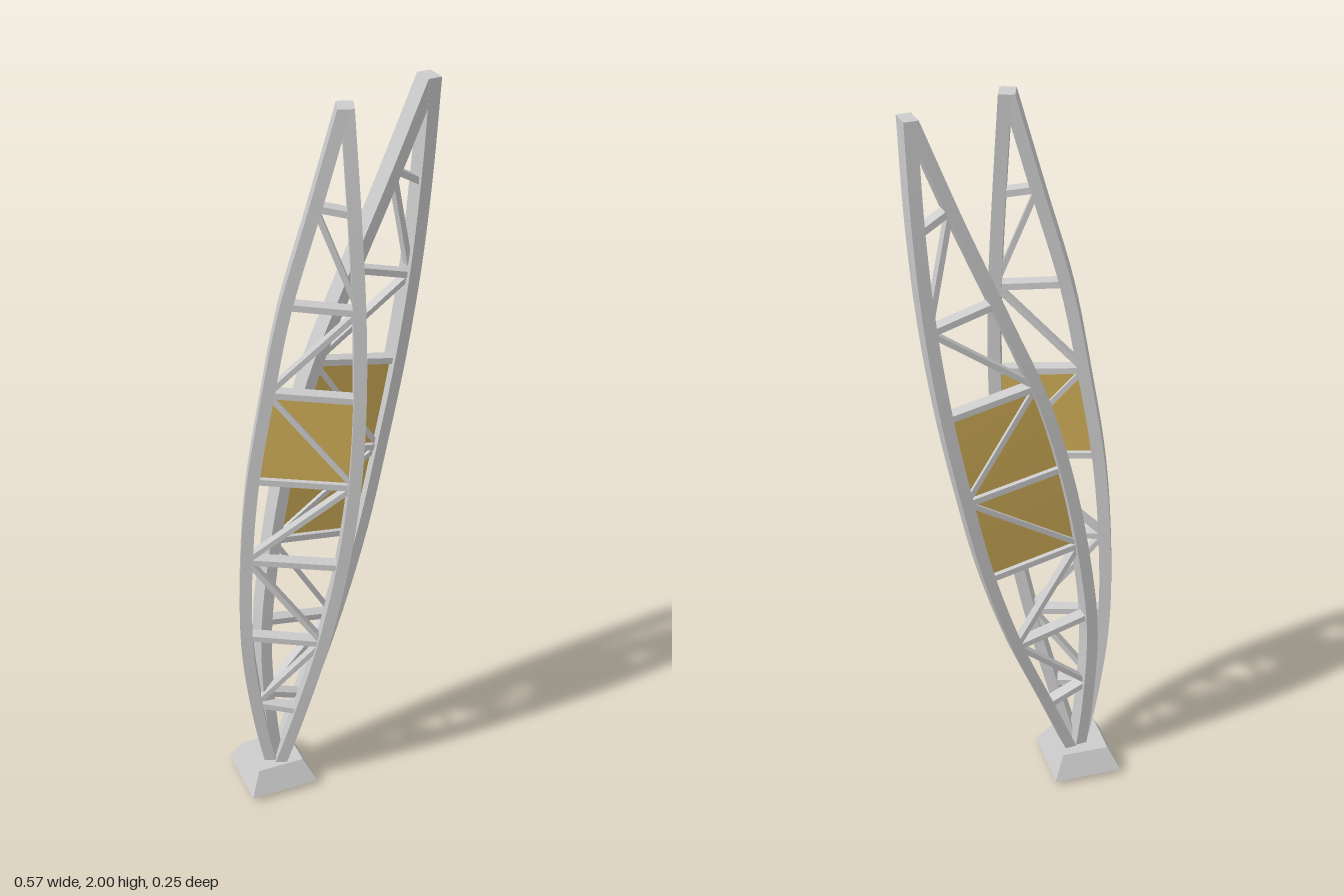
import * as THREE from 'three';

const grey = new THREE.MeshStandardMaterial({ color: 0xcccccc });
const gold = new THREE.MeshStandardMaterial({ color: 0xccaa55 });
const UP = new THREE.Vector3(0, 1, 0);

// Four corners of a rectangular section: centre c, half axes a and b
function section(c, a, b) {
  return [[-1, -1], [1, -1], [1, 1], [-1, 1]].map(([s, t]) =>
    c.clone().addScaledVector(a, s).addScaledVector(b, t));
}

// Closed bar through a list of sections, sharp along its four edges
function loft(sections) {
  const pos = [], idx = [];
  const add = (p) => pos.push(p.x, p.y, p.z) / 3 - 1;
  for (let e = 0; e < 4; e++) {
    let prev = null;
    for (const s of sections) {
      const cur = [add(s[e]), add(s[(e + 1) % 4])];
      if (prev) idx.push(prev[0], prev[1], cur[1], prev[0], cur[1], cur[0]);
      prev = cur;
    }
  }
  const s = sections[0].map(add), t = sections[sections.length - 1].map(add);
  idx.push(s[0], s[2], s[1], s[0], s[3], s[2], t[0], t[1], t[2], t[0], t[2], t[3]);
  const g = new THREE.BufferGeometry();
  g.setAttribute('position', new THREE.Float32BufferAttribute(pos, 3));
  g.setIndex(idx);
  g.computeVertexNormals();
  return g;
}

function part(parent, name, geometry, material = grey) {
  const m = new THREE.Mesh(geometry, material);
  m.name = name;
  parent.add(m);
}

// Centre line from x and z values at every quarter unit of height
const centreLine = (xs, zs) => new THREE.CatmullRomCurve3(
  xs.map((x, i) => new THREE.Vector3(x, i * 0.25, zs[i])), false, 'catmullrom');

// Lens-shaped lattice blade between two bowed chords
function makeBlade({ name, left, right, across, drop, panels }) {
  const blade = new THREE.Group();
  blade.name = name;
  const u = new THREE.Vector3(across[0], 0, across[1]).normalize();
  const n = UP.clone().cross(u);
  const L = (y) => left.getPoint((y + drop) / 2);
  const R = (y) => right.getPoint((y - drop) / 2);

  // Curved box-section chords
  for (const [label, curve] of [['leftChord', left], ['rightChord', right]]) {
    const a = u.clone().multiplyScalar(0.016), b = n.clone().multiplyScalar(0.0275);
    part(blade, label, loft(curve.getPoints(48).map((c) => section(c, a, b))));
  }

  const bar = (label, p, q, w, h) => {
    const d = q.clone().sub(p).normalize();
    const a = n.clone().cross(d).normalize().multiplyScalar(w / 2);
    const b = n.clone().multiplyScalar(h / 2);
    part(blade, label, loft([section(p, a, b), section(q, a, b)]));
  };

  // Cross struts with zigzag bracing between them
  const levels = [1.75, 1.5, 1.26, 1.01, 0.76, 0.51, 0.27];
  levels.forEach((y, i) => {
    bar('crossStrut', L(y), R(y), 0.017, 0.034);
    if (i === levels.length - 1) return;
    const next = levels[i + 1];
    if (i % 2 === 0) bar('diagonalBrace', L(y), R(next), 0.014, 0.026);
    else bar('diagonalBrace', R(y), L(next), 0.014, 0.026);
  });

  // Thin infill panels
  for (const [low, high] of panels) {
    const rows = [];
    for (let i = 0; i <= 6; i++) {
      const y = THREE.MathUtils.lerp(low, high, i / 6);
      const p = L(y), q = R(y);
      rows.push(section(p.clone().lerp(q, 0.5), q.clone().sub(p).multiplyScalar(0.5),
        n.clone().multiplyScalar(0.004)));
    }
    part(blade, 'infillPanel', loft(rows), gold);
  }
  return blade;
}

export function createModel() {
  const model = new THREE.Group();
  model.name = 'twinBladeSculpture';

  model.add(makeBlade({
    name: 'frontBlade',
    left: centreLine(
      [-0.185, -0.23, -0.256, -0.252, -0.232, -0.192, -0.145, -0.075, -0.005],
      [-0.015, -0.02, -0.02, -0.018, -0.01, 0.002, 0.016, 0.033, 0.047]),
    right: centreLine(
      [-0.195, -0.13, -0.07, -0.022, 0.007, 0.02, 0.02, 0.012, 0.003],
      [-0.01, 0.03, 0.062, 0.08, 0.093, 0.093, 0.085, 0.07, 0.048]),
    across: [0.94, 0.33],
    drop: 0.009,
    panels: [[1.01, 1.26]],
  }));

  model.add(makeBlade({
    name: 'rearBlade',
    left: centreLine(
      [-0.178, -0.2, -0.203, -0.17, -0.12, -0.048, 0.055, 0.16, 0.258],
      [-0.025, -0.035, -0.045, -0.06, -0.07, -0.077, -0.078, -0.07, -0.06]),
    right: centreLine(
      [-0.185, -0.085, 0.016, 0.096, 0.154, 0.202, 0.236, 0.255, 0.262],
      [-0.03, -0.047, -0.07, -0.085, -0.093, -0.093, -0.087, -0.077, -0.06]),
    across: [0.995, -0.09],
    drop: 0.025,
    panels: [[0.76, 1.01], [1.01, 1.26]],
  }));

  // Tapered square foot
  const base = new THREE.CylinderGeometry(0.093, 0.137, 0.065, 4).toNonIndexed();
  base.rotateY(Math.PI / 4).translate(-0.189, 0.0475, -0.025);
  base.computeVertexNormals();
  part(model, 'base', base);
  return model;
}
